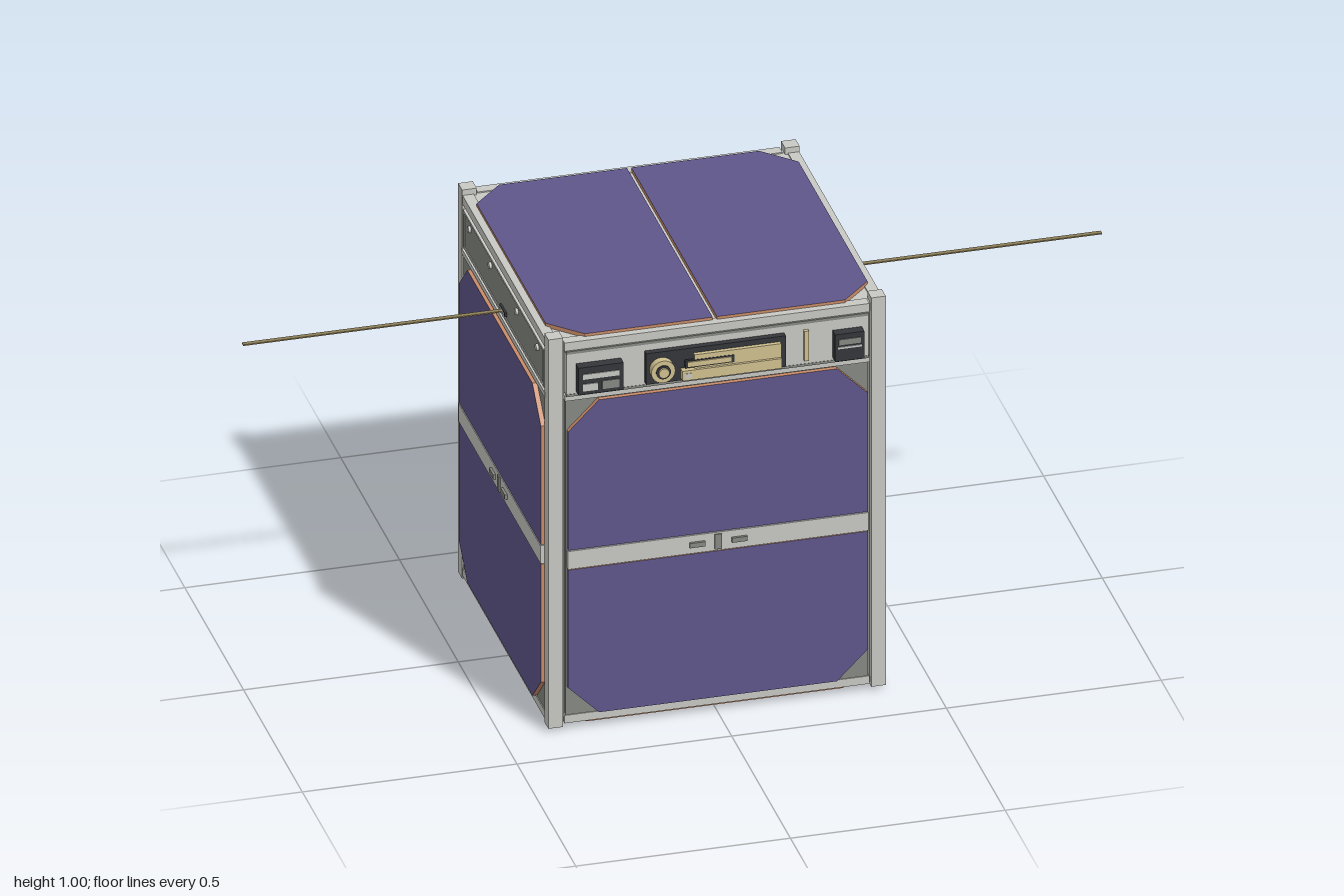
import * as THREE from 'three';

const mat = (name, color, extra = {}) => {
  const m = new THREE.MeshStandardMaterial({ color, ...extra });
  m.name = name;
  return m;
};

export function createModel() {
  const model = new THREE.Group();
  model.name = 'cubeSatellite';

  const light = mat('lightAluminium', 0xc8c8c4);
  const grey = mat('greyPanel', 0x858882);
  const purple = mat('solarPurple', 0x5f568b);
  const copper = mat('copperEdge', 0xc98c68);
  const dark = mat('darkPlastic', 0x34363a);
  const gold = mat('paleGold', 0xd0c090);
  const brass = mat('antennaBrass', 0x8c7e58);

  const CZ = -0.008; // middle of the body in z
  const HX = 0.393, HZ = 0.384; // half sizes of the frame
  const body = new THREE.Group();
  body.name = 'body';
  body.position.z = CZ;
  model.add(body);

  const add = (parent, name, geo, m, x, y, z) => {
    const mesh = new THREE.Mesh(geo, m);
    mesh.name = name;
    mesh.position.set(x, y, z);
    parent.add(mesh);
    return mesh;
  };
  const box = (parent, name, m, w, h, d, x, y, z) =>
    add(parent, name, new THREE.BoxGeometry(w, h, d), m, x, y, z);
  // plate given by its edges, with its outer face at z
  const plate = (parent, name, m, x0, x1, y0, y1, z, depth = 0.008) =>
    box(parent, name, m, x1 - x0, y1 - y0, depth, (x0 + x1) / 2, (y0 + y1) / 2, z - depth / 2);

  // solar cell: inner edge on the origin, both outer corners cut off
  const cell = (parent, w, h, x, y, z, turn) => {
    const a = w / 2, c = 0.072;
    const shape = new THREE.Shape([[-a, 0], [a, 0], [a, h - c], [a - c, h], [c - a, h], [-a, h - c]]
      .map(([px, py]) => new THREE.Vector2(px, py)));
    const geo = new THREE.ExtrudeGeometry(shape, { depth: 0.014, bevelEnabled: false });
    add(parent, 'solarCell', geo, [purple, copper], x, y, z - 0.014).rotation.z = turn;
  };

  // cross strip with a centre tab and two small raised clips
  const strip = (parent, y, z) => {
    plate(parent, 'crossStrip', light, -0.35, 0.35, y - 0.023, y + 0.023, z + 0.009, 0.015);
    plate(parent, 'stripTab', grey, -0.008, 0.008, y - 0.019, y + 0.019, z + 0.012);
    for (const s of [-1, 1])
      plate(parent, 'stripClip', grey, s * 0.049 - 0.018, s * 0.049 + 0.018, y - 0.006, y + 0.006, z + 0.015);
  };

  // inner body and top deck
  box(body, 'core', grey, 2 * HX - 0.03, 0.94, 2 * HZ - 0.03, 0, 0.495, 0);
  box(body, 'topDeck', light, 2 * HX - 0.02, 0.022, 2 * HZ - 0.02, 0, 0.975, 0);

  // corner posts
  for (const sx of [-1, 1])
    for (const sz of [-1, 1])
      box(body, 'cornerPost', light, 0.034, 0.993, 0.034, sx * (HX - 0.017), 0.5065, sz * (HZ - 0.017));

  // connector panel on the front and back; s mirrors it left to right
  const connectorPanel = (g, d, s) => {
    const p = (name, m, x0, x1, y0, y1, z, depth) =>
      plate(g, name, m, Math.min(s * x0, s * x1), Math.max(s * x0, s * x1), y0, y1, d + z, depth);
    p('connectorPanel', light, -0.352, 0.352, 0.858, 0.962, 0.003, 0.02);
    for (const [y0, y1] of [[0.853, 0.859], [0.961, 0.968]])
      p('panelEdge', grey, -0.352, 0.352, y0, y1, 0.004, 0.01);
    // left socket
    p('leftSocket', dark, -0.33, -0.225, 0.866, 0.935, 0.026, 0.03);
    p('leftSocketLabel', light, -0.32, -0.235, 0.905, 0.918, 0.028);
    p('leftSocketPort', light, -0.32, -0.285, 0.875, 0.893, 0.028);
    p('leftSocketPort', grey, -0.275, -0.235, 0.875, 0.896, 0.028);
    // main connector with its round plug
    p('mainConnector', dark, -0.17, 0.155, 0.866, 0.945, 0.018, 0.025);
    p('goldConnector', gold, -0.09, 0.142, 0.872, 0.897, 0.034, 0.025);
    p('goldConnector', gold, -0.06, 0.142, 0.897, 0.932, 0.028, 0.02);
    p('connectorSlot', dark, -0.082, 0.032, 0.901, 0.92, 0.029, 0.006);
    p('connectorKey', gold, -0.076, 0.026, 0.904, 0.917, 0.032);
    p('connectorPin', light, -0.083, -0.068, 0.877, 0.89, 0.035, 0.005);
    const disc = (name, r, depth, z, m) =>
      add(g, name, new THREE.CylinderGeometry(r, r, depth, 24), m, s * -0.135, 0.903, d + z).rotation.x = Math.PI / 2;
    disc('roundPlug', 0.028, 0.02, 0.026, gold);
    disc('plugRing', 0.017, 0.006, 0.036, dark);
    disc('plugCore', 0.012, 0.014, 0.037, gold);
    // thin tan bar and right socket
    p('tanBar', gold, 0.2, 0.211, 0.87, 0.946, 0.012, 0.015);
    p('rightSocket', dark, 0.268, 0.336, 0.866, 0.935, 0.026, 0.03);
    p('rightSocketLabel', light, 0.274, 0.33, 0.898, 0.903, 0.028);
    p('rightSocketPort', grey, 0.276, 0.328, 0.908, 0.922, 0.028);
  };

  // antenna panel on the left and right sides
  const antennaPanel = (g, d) => {
    plate(g, 'antennaPanel', grey, -0.352, 0.352, 0.853, 0.968, d - 0.008, 0.02);
    const border = [[-0.344, 0.344, 0.951, 0.957], [-0.344, 0.344, 0.861, 0.867],
      [-0.344, -0.333, 0.867, 0.951], [0.333, 0.344, 0.867, 0.951]];
    for (const [x0, x1, y0, y1] of border) plate(g, 'panelBorder', light, x0, x1, y0, y1, d);
    plate(g, 'innerPanel', grey, -0.333, 0.333, 0.867, 0.951, d - 0.002);
    for (const x of [-0.288, -0.111, 0.114, 0.289])
      add(g, 'rivet', new THREE.CylinderGeometry(0.008, 0.008, 0.008, 12), light, x, 0.935, d)
        .rotation.x = Math.PI / 2;
    plate(g, 'antennaSlot', dark, -0.023, 0.023, 0.873, 0.884, d + 0.003);
    plate(g, 'slotLip', light, -0.018, 0.018, 0.8765, 0.8805, d + 0.005);
    box(g, 'antenna', brass, 0.012, 0.003, 1 - d, 0, 0.8785, (1 + d) / 2);
  };

  // four sides: rails, two solar cells, strip and upper panel
  ['frontSide', 'rightSide', 'backSide', 'leftSide'].forEach((name, i) => {
    const g = new THREE.Group();
    g.name = name;
    g.rotation.y = i * Math.PI / 2;
    body.add(g);
    const d = i % 2 ? HX : HZ;
    plate(g, 'backingPanel', grey, -0.352, 0.352, 0.03, 0.845, d - 0.003, 0.02);
    plate(g, 'topRail', light, -0.355, 0.355, 0.967, 0.989, d - 0.001, 0.026);
    plate(g, 'middleRail', light, -0.355, 0.355, 0.841, 0.854, d + 0.001, 0.02);
    plate(g, 'bottomRail', light, -0.355, 0.355, 0.018, 0.038, d - 0.001, 0.026);
    cell(g, 0.698, 0.375, 0, 0.463, d + 0.008, 0);
    cell(g, 0.698, 0.373, 0, 0.413, d + 0.008, Math.PI);
    strip(g, 0.438, d);
    if (i % 2) antennaPanel(g, d);
    else connectorPanel(g, d, i ? -1 : 1);
  });

  // top: two cells either side of a narrow seam
  const top = new THREE.Group();
  top.name = 'topSide';
  top.rotation.x = -Math.PI / 2;
  body.add(top);
  for (const s of [-1, 1]) cell(top, 0.73, 0.37, s * 0.005, 0, 0.996, -s * Math.PI / 2);

  // underside: two cells either side of a cross strip
  const under = new THREE.Group();
  under.name = 'underside';
  under.rotation.x = Math.PI / 2;
  under.position.y = 0.015;
  body.add(under);
  plate(under, 'bottomDeck', grey, 0.01 - HX, HX - 0.01, 0.01 - HZ, HZ - 0.01, -0.004, 0.012);
  cell(under, 0.74, 0.342, 0, 0.025, 0.008, 0);
  cell(under, 0.74, 0.342, 0, -0.025, 0.008, Math.PI);
  strip(under, 0, 0);

  return model;
}
